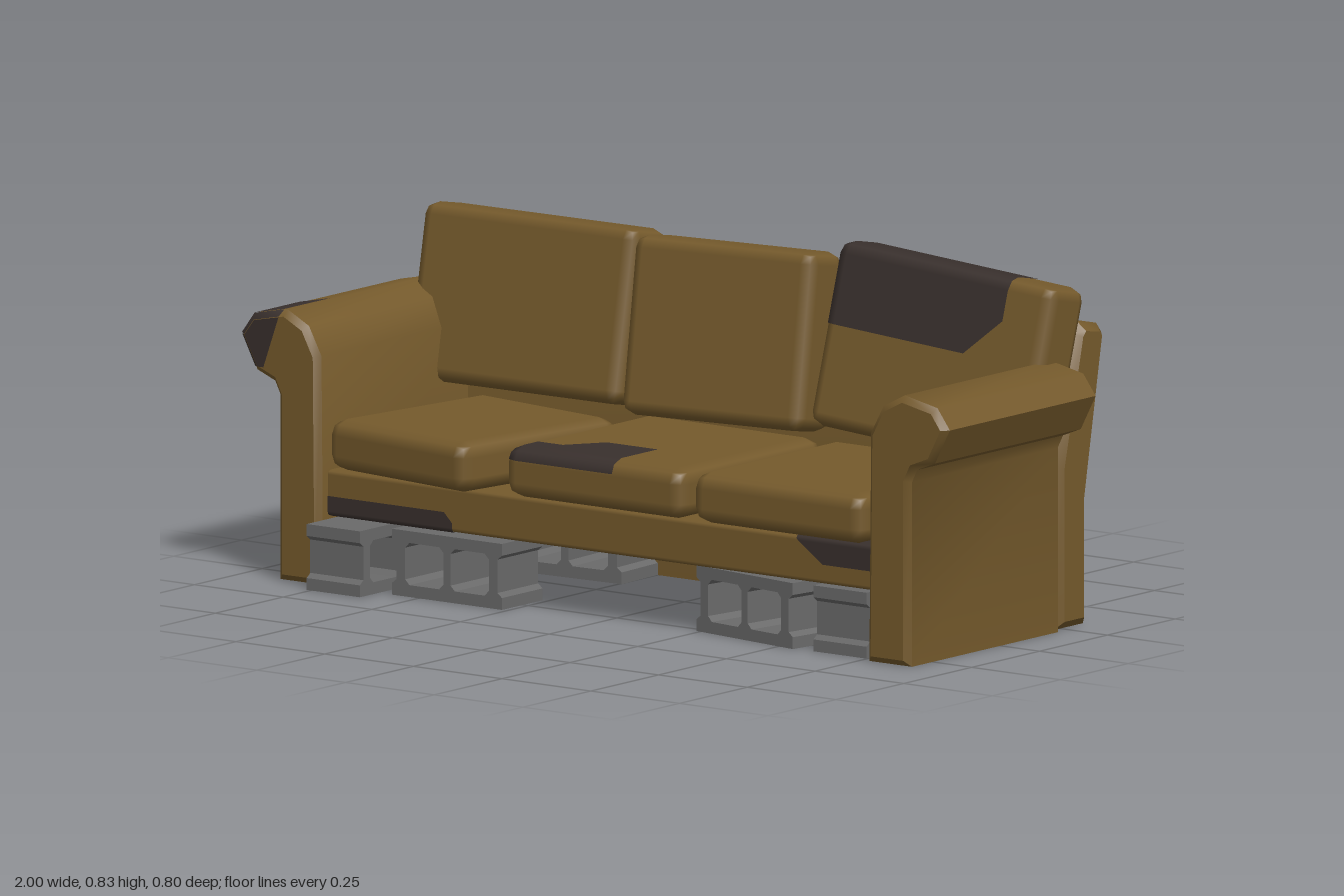
import * as THREE from 'three';
import { toCreasedNormals } from 'three/addons/utils/BufferGeometryUtils.js';
import { RoundedBoxGeometry } from 'three/addons/geometries/RoundedBoxGeometry.js';

const fabric = new THREE.MeshStandardMaterial({ color: 0x755a2c });
const dark = new THREE.MeshStandardMaterial({ color: 0x39302d });
const concrete = new THREE.MeshStandardMaterial({ color: 0x6a6a6a });

const shapeOf = (pts) => new THREE.Shape(pts.map(([x, y]) => new THREE.Vector2(x, y)));

function named(name, geometry, material) {
  const mesh = new THREE.Mesh(geometry, material);
  mesh.name = name;
  return mesh;
}

// Extrusion centred on its depth, with a bevel that stays inside the outline
function slab(shape, depth, bevel) {
  const geo = new THREE.ExtrudeGeometry(shape, {
    depth: depth - 2 * bevel, bevelEnabled: bevel > 0, bevelSize: bevel,
    bevelThickness: bevel, bevelOffset: -bevel, bevelSegments: 1,
  });
  geo.translate(0, 0, bevel - depth / 2);
  return toCreasedNormals(geo, 0.7);
}

// Cloth patch: the part of a surface inside the planes (ax + by + cz + d >= 0), lifted slightly
function patch(geo, planes) {
  const p = geo.attributes.position, n = geo.attributes.normal, pos = [], nor = [];
  const side = (v, [a, b, c, d]) => a * v[0] + b * v[1] + c * v[2] + d;
  for (let i = 0; i < p.count; i += 3) {
    let poly = [i, i + 1, i + 2].map((k) =>
      [p.getX(k), p.getY(k), p.getZ(k), n.getX(k), n.getY(k), n.getZ(k)]);
    for (const plane of planes) {
      const out = [];
      poly.forEach((v, k) => {
        const w = poly[(k + 1) % poly.length], s = side(v, plane), t = side(w, plane);
        if (s >= 0) out.push(v);
        if (s * t < 0) out.push(v.map((q, j) => q + (w[j] - q) * s / (s - t)));
      });
      poly = out;
    }
    for (let k = 1; k + 1 < poly.length; k++) {
      for (const v of [poly[0], poly[k], poly[k + 1]]) {
        for (let j = 0; j < 3; j++) pos.push(v[j] + v[j + 3] * 0.002);
        nor.push(v[3], v[4], v[5]);
      }
    }
  }
  const result = new THREE.BufferGeometry();
  result.setAttribute('position', new THREE.Float32BufferAttribute(pos, 3));
  result.setAttribute('normal', new THREE.Float32BufferAttribute(nor, 3));
  return named('clothPatch', result, dark);
}

// Soft box with optional patches, given as lists of planes in its own frame
function cushion(name, size, position, rotation = [0, 0, 0], radius = 0.03, patches = []) {
  const geo = new RoundedBoxGeometry(...size, 1, radius);
  const mesh = named(name, geo, fabric);
  mesh.position.set(...position);
  mesh.rotation.set(...rotation);
  for (const planes of patches) mesh.add(patch(geo, planes));
  return mesh;
}

// Concrete block: notched ends and two through holes
function blockGeometry() {
  const L = 0.155, H = 0.075, e = 0.142, f = 0.048;
  const shape = shapeOf([
    [-L, -H], [L, -H], [L, -f], [e, -f + 0.01], [e, f - 0.01], [L, f],
    [L, H], [-L, H], [-L, f], [-e, f - 0.01], [-e, -f + 0.01], [-L, -f],
  ]);
  for (const s of [-1, 1]) {
    const a = 0.01, b = 0.118, c = 0.012;
    shape.holes.push(shapeOf([
      [a + c, -f], [b - c, -f], [b, -f + c], [b, f - c],
      [b - c, f], [a + c, f], [a, f - c], [a, -f + c],
    ].map(([x, y]) => [s * x, y])));
  }
  return slab(shape, 0.15, 0);
}

export function createModel() {
  const sofa = new THREE.Group();
  sofa.name = 'sofa';

  // Scrolled arms
  const armProfile = [
    [0.77, 0], [0.89, 0], [0.89, 0.42], [0.905, 0.45], [0.955, 0.47], [0.997, 0.55],
    [0.962, 0.597], [0.87, 0.616], [0.81, 0.585], [0.775, 0.52],
  ];
  for (const s of [-1, 1]) {
    const geo = slab(shapeOf(armProfile.map(([x, y]) => [s * x, y])), 0.565, 0.014);
    geo.translate(0, 0, 0.0575);
    const arm = named(s > 0 ? 'leftArm' : 'rightArm', geo, fabric);
    if (s < 0) arm.add(patch(geo, [[0, 0, 1, -0.16], [-1, 0.36, 0, -1.0996], [0, 1, 0, -0.48]]));
    sofa.add(arm);
  }

  // Back panel: side profile swept across the width
  const back = slab(shapeOf([
    [0.225, 0], [0.333, 0], [0.333, 0.29], [0.4, 0.655],
    [0.382, 0.677], [0.315, 0.688], [0.295, 0.665], [0.225, 0.37],
  ]), 1.77, 0.018);
  back.rotateY(Math.PI / 2);
  sofa.add(named('backPanel', back, fabric));

  // Seat base between the arms
  sofa.add(cushion('seatBase', [1.56, 0.103, 0.54], [0, 0.207, 0.037], [0, 0, 0], 0.01, [
    [[-1, 0, 0, -0.42], [0, -1, 0, -0.007], [-1, -1, 0, -0.45], [0, 0, 1, -0.2]],
    [[1, 0, 0, -0.55], [0, 1, 0, 0.007], [0.7, 1, 0, -0.43], [0, 0, 1, -0.2]],
  ]));

  // Seat cushions, the right one pulled askew
  sofa.add(
    cushion('rightSeatCushion', [0.445, 0.116, 0.49], [-0.52, 0.317, 0.1], [0, -0.15, 0], 0.035),
    cushion('middleSeatCushion', [0.505, 0.116, 0.53], [-0.005, 0.317, 0.07], [0, 0, 0], 0.035, [
      [[-1, 0, 0, 0.055], [0, 0, 1, -0.18], [0, 1, 0, -0.028]],
      [[-1, 0, 0, 0.055], [0, 0, 1, -0.095], [0, 0, -1, 0.18], [1, 0, 0.7, 0.022], [0, 1, 0, -0.028]],
    ]),
    cushion('leftSeatCushion', [0.485, 0.116, 0.53], [0.513, 0.317, 0.07], [0, 0, 0], 0.035),
  );

  // Loose back cushions
  sofa.add(
    cushion('rightBackCushion', [0.6, 0.4, 0.14], [-0.57, 0.586, -0.2], [-0.19, 0, 0.005]),
    cushion('middleBackCushion', [0.485, 0.405, 0.14], [-0.005, 0.585, -0.18], [-0.17, 0.065, 0.025]),
    cushion('leftBackCushion', [0.6, 0.42, 0.14], [0.583, 0.594, -0.205], [-0.2, 0.035, -0.07], 0.03, [
      [[-1, 0, 0, 0.18], [0, 1, 0, -0.02], [-1, 1, 0, 0.07]],
    ]),
  );

  // Concrete blocks: [x, z, turn]
  const blockGeo = blockGeometry();
  const quarter = Math.PI / 2;
  [
    [-0.685, 0.245, quarter], [-0.418, 0.255, 0], [-0.4, -0.15, 0.05],
    [0.675, 0.155, quarter], [0.405, 0.22, -0.15], [0.55, -0.148, 0],
  ].forEach(([x, z, turn], i) => {
    const block = named('concreteBlock' + (i + 1), blockGeo, concrete);
    block.position.set(x, 0.0755, z);
    block.rotation.y = turn;
    sofa.add(block);
  });

  return sofa;
}
